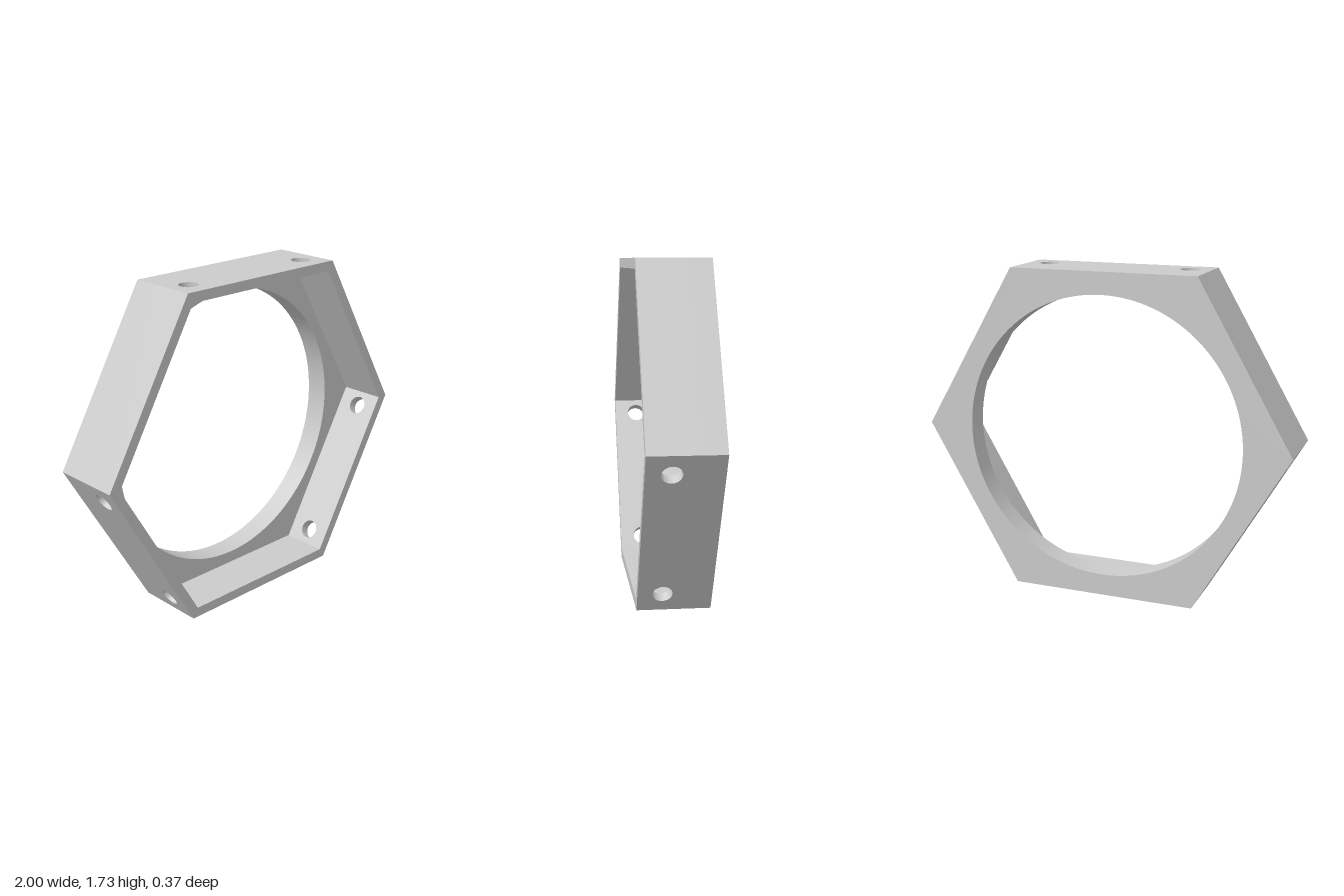
import * as THREE from 'three';
import { toCreasedNormals } from 'three/addons/utils/BufferGeometryUtils.js';

const R = 1;                          // outer corner radius of the hexagon
const APOTHEM = R * Math.sqrt(3) / 2;
const WALL = 0.052;                   // wall thickness
const BACK = -0.186, FLOOR = -0.062, FRONT = 0.186;
const BORE = 0.75;                    // round opening in the back plate
const HOLE = { x: 0.388, z: 0.062, r: 0.05 };

const material = new THREE.MeshStandardMaterial({ color: 0xcccccc });

function circle(x, y, r) {
  return new THREE.Path().absarc(x, y, r, 0, Math.PI * 2, true);
}

function extrude(shape, depth, curveSegments) {
  return new THREE.ExtrudeGeometry(shape, { depth, curveSegments, bevelEnabled: false });
}

// Hexagonal back plate with the large round opening
function backPlate() {
  const corners = Array.from({ length: 6 }, (_, i) =>
    new THREE.Vector2(R * Math.cos(i * Math.PI / 3), R * Math.sin(i * Math.PI / 3)));
  const shape = new THREE.Shape(corners);
  shape.holes.push(circle(0, 0, BORE));
  const geo = extrude(shape, FLOOR - BACK, 96).translate(0, 0, BACK);
  return new THREE.Mesh(toCreasedNormals(geo, 0.5), material);
}

// One side wall with mitred ends, optionally drilled with two screw holes
function sideWall(angle, drilled) {
  const h = R / 2;
  const shape = new THREE.Shape([
    new THREE.Vector2(-h, FLOOR), new THREE.Vector2(h, FLOOR),
    new THREE.Vector2(h, FRONT), new THREE.Vector2(-h, FRONT),
  ]);
  if (drilled) {
    for (const s of [-1, 1]) shape.holes.push(circle(s * HOLE.x, HOLE.z, HOLE.r));
  }
  const geo = extrude(shape, WALL, 32);

  // Pull in the ends of the inner face for the mitre
  const p = geo.attributes.position;
  const inset = WALL * Math.tan(Math.PI / 6);
  for (let i = 0; i < p.count; i++) {
    const x = p.getX(i);
    if (p.getZ(i) < WALL / 2 && Math.abs(x) > h - 0.001) p.setX(i, x - Math.sign(x) * inset);
  }

  // Stand the wall at the bottom of the ring, then turn it to its side
  geo.translate(0, 0, APOTHEM - WALL);
  geo.rotateX(Math.PI / 2);
  geo.rotateZ(angle + Math.PI / 2);
  return new THREE.Mesh(toCreasedNormals(geo, 0.5), material);
}

export function createModel() {
  const model = new THREE.Group();
  model.name = 'hexagonalFrame';

  const plate = backPlate();
  plate.name = 'backPlate';
  model.add(plate);

  // Every other wall, starting with the top one, is drilled
  const names = ['upperLeft', 'top', 'upperRight', 'lowerRight', 'bottom', 'lowerLeft'];
  names.forEach((name, i) => {
    const wall = sideWall(Math.PI / 6 + i * Math.PI / 3, i % 2 === 1);
    wall.name = name + 'Wall';
    model.add(wall);
  });

  model.children.forEach((part) => { part.position.y = APOTHEM; });
  return model;
}
